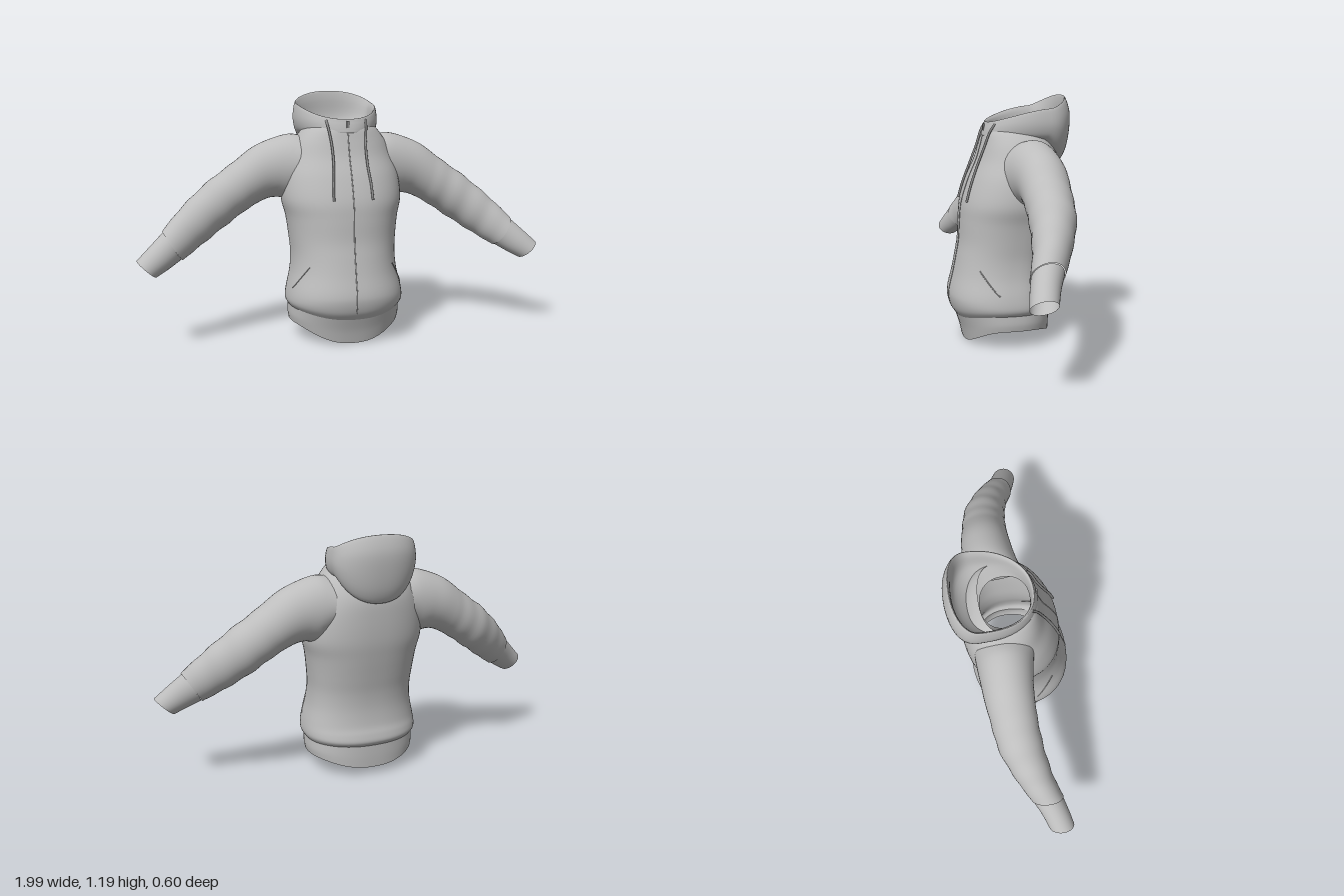
import * as THREE from 'three';

const fabric = new THREE.MeshStandardMaterial({ color: 0xbdbdbd, side: THREE.DoubleSide });
fabric.name = 'grey fabric';
const cordMat = new THREE.MeshStandardMaterial({ color: 0x8a8a8a });
cordMat.name = 'cord grey';

// Smoothly interpolates a list of section rows at position t (in rows)
function sampleRows(rows, t) {
  const i = Math.min(Math.floor(t), rows.length - 2), f = t - i;
  const row = k => rows[Math.max(0, Math.min(rows.length - 1, k))];
  return rows[0].map((_, c) => {
    const a = row(i - 1)[c], b = row(i)[c], d = row(i + 1)[c], e = row(i + 2)[c];
    return b + 0.5 * f * (d - a + f * (2 * a - 5 * b + 4 * d - e + f * (3 * (b - d) + e - a)));
  });
}

// Skins closed cross-sections into one smooth surface
function loft(name, rows, section, flip = false, sub = 5, n = 56) {
  const pos = [], idx = [], steps = (rows.length - 1) * sub;
  for (let j = 0; j <= steps; j++) {
    const row = sampleRows(rows, j / sub);
    for (let i = 0; i < n; i++) pos.push(...section(row, (i / n) * Math.PI * 2, j / sub));
  }
  for (let j = 0; j < steps; j++) {
    for (let i = 0; i < n; i++) {
      const a = j * n + i, b = j * n + (i + 1) % n, c = a + n, d = b + n;
      if (flip) idx.push(a, b, c, b, d, c);
      else idx.push(a, c, b, b, c, d);
    }
  }
  const g = new THREE.BufferGeometry();
  g.setAttribute('position', new THREE.Float32BufferAttribute(pos, 3));
  g.setIndex(idx);
  g.computeVertexNormals();
  const mesh = new THREE.Mesh(g, fabric);
  mesh.name = name;
  return mesh;
}

// Level section: half width, front z, widest z, back z, front y, side y, back y
function ringSection(round, yPower) {
  return ([w, zf, zm, zb, yf, ys, yb], a) => {
    const c = Math.cos(a), s = Math.sin(a), r = v => Math.sign(v) * Math.abs(v) ** round;
    const k = Math.abs(s) ** yPower;
    return [w * r(c), ys + ((s > 0 ? yf : yb) - ys) * k, zm + Math.abs(s > 0 ? zf - zm : zb - zm) * r(s)];
  };
}
const bodySection = ringSection(0.86, 3);
const hoodSection = ringSection(0.9, 1.3);

const level = (w, zf, zm, zb, y) => [w, zf, zm, zb, y, y, y];
const bandRows = [
  [0.270, 0.225, 0.02, -0.188, 0.005, 0.092, 0.043],
  [0.275, 0.240, 0.02, -0.190, 0.070, 0.125, 0.100],
  [0.273, 0.260, 0.02, -0.190, 0.130, 0.167, 0.157],
];
const bodyRows = [
  bandRows[2],
  [0.285, 0.284, 0.02, -0.205, 0.165, 0.188, 0.180],
  level(0.287, 0.297, 0.02, -0.200, 0.215),
  level(0.280, 0.295, 0.02, -0.187, 0.26),
  level(0.262, 0.276, 0.01, -0.180, 0.34),
  level(0.256, 0.260, 0.00, -0.185, 0.42),
  level(0.262, 0.246, -0.01, -0.200, 0.50),
  level(0.275, 0.240, -0.02, -0.220, 0.60),
  level(0.295, 0.230, -0.03, -0.235, 0.69),
  level(0.285, 0.195, -0.04, -0.241, 0.80),
  level(0.255, 0.156, -0.05, -0.238, 0.89),
  level(0.225, 0.135, -0.05, -0.215, 0.96),
  level(0.190, 0.122, -0.05, -0.180, 1.01),
  level(0.165, 0.112, -0.05, -0.145, 1.035),
];

// Hood runs from the tucked outer edge over the rim and down the lining to the neck
const hoodRows = [
  [0.150, 0.105, -0.10, -0.200, 1.000, 0.990, 0.920],
  [0.178, 0.124, -0.14, -0.245, 1.005, 0.995, 0.875],
  [0.196, 0.123, -0.15, -0.277, 1.020, 1.015, 0.925],
  [0.206, 0.118, -0.16, -0.295, 1.040, 1.055, 1.020],
  [0.205, 0.113, -0.16, -0.298, 1.055, 1.098, 1.120],
  [0.196, 0.107, -0.16, -0.272, 1.070, 1.138, 1.196],
  [0.182, 0.098, -0.16, -0.262, 1.062, 1.115, 1.160],
  [0.168, 0.092, -0.13, -0.255, 1.035, 1.050, 1.050],
  [0.142, 0.090, -0.06, -0.190, 1.005, 1.000, 0.980],
  [0.125, 0.090, -0.025, -0.140, 0.990, 0.970, 0.950],
];

// Sleeve section: top x, top y, bottom x, bottom y, back z, front z
const sleeveRows = [
  [0.18, 0.985, 0.22, 0.720, -0.195, 0.085],
  [0.25, 0.995, 0.27, 0.685, -0.192, 0.070],
  [0.34, 0.972, 0.32, 0.688, -0.186, 0.058],
  [0.43, 0.932, 0.37, 0.680, -0.180, 0.052],
  [0.53, 0.858, 0.45, 0.640, -0.166, 0.052],
  [0.66, 0.765, 0.57, 0.560, -0.143, 0.064],
  [0.785, 0.655, 0.69, 0.480, -0.082, 0.092],
  [0.875, 0.560, 0.785, 0.420, -0.022, 0.130],
];
const cuffRows = [
  [0.870, 0.556, 0.790, 0.424, -0.018, 0.126],
  [0.935, 0.495, 0.850, 0.388, 0.018, 0.148],
  [0.997, 0.436, 0.910, 0.356, 0.045, 0.166],
];
const sleeveSection = (side, ripple) => ([tx, ty, bx, by, zb, zf], a, t) => {
  // soft folds gather on the forearm
  const fold = 1 + ripple * Math.max(0, Math.min(1, t - 3.5)) * Math.sin(t * 8 + Math.cos(a) * 1.2) * Math.min(1, 7 - t);
  const s = Math.sin(a) * fold / 2, c = Math.cos(a) * fold / 2;
  return [side * ((tx + bx) / 2 + (tx - bx) * s), (ty + by) / 2 + (ty - by) * s, (zb + zf) / 2 + (zf - zb) * c];
};

function tube(name, points, radius, material) {
  const curve = new THREE.CatmullRomCurve3(points.map(p => new THREE.Vector3(...p)));
  const mesh = new THREE.Mesh(new THREE.TubeGeometry(curve, 40, radius, 8), material);
  mesh.name = name;
  return mesh;
}

export function createModel() {
  const hoodie = new THREE.Group();
  hoodie.name = 'hoodie';
  hoodie.add(
    loft('waistband', bandRows, bodySection),
    loft('body', bodyRows, bodySection),
    loft('hood', hoodRows, hoodSection),
  );

  for (const side of [1, -1]) {
    const label = side > 0 ? 'left' : 'right';
    hoodie.add(
      loft(label + 'Sleeve', sleeveRows, sleeveSection(side, 0.02), side < 0, 8, 40),
      loft(label + 'Cuff', cuffRows, sleeveSection(side, 0), side < 0, 4, 40),
    );

    // Drawstring hanging from the collar
    hoodie.add(tube(label + 'Drawstring', [
      [0.098, 1.065, 0.085], [0.093, 1.03, 0.108], [0.083, 0.95, 0.137],
      [0.083, 0.85, 0.176], [0.091, 0.77, 0.205], [0.095, 0.695, 0.226],
    ].map(([x, y, z]) => [side * x, y, z]), 0.006, cordMat));

    // Slanted pocket seam following the body surface
    const seam = [];
    for (let i = 0; i <= 8; i++) {
      const f = i / 8, [x, y, z] = bodySection(sampleRows(bodyRows, 4.5 - 1.4 * f), 0.71 - 0.45 * f);
      seam.push([side * x, y, z]);
    }
    hoodie.add(tube(label + 'PocketSeam', seam, 0.003, fabric));
  }

  // Front zip seam and its small pull
  const zip = [];
  for (let t = 1; t <= 12; t += 0.5) {
    const [x, y, z] = bodySection(sampleRows(bodyRows, t), Math.PI / 2);
    zip.push([x, y, z - 0.001]);
  }
  hoodie.add(tube('zipSeam', zip, 0.003, fabric));
  const pull = new THREE.Mesh(new THREE.BoxGeometry(0.012, 0.032, 0.008), cordMat);
  pull.name = 'zipPull';
  pull.position.set(0, 1.045, 0.119);
  hoodie.add(pull);
  return hoodie;
}
